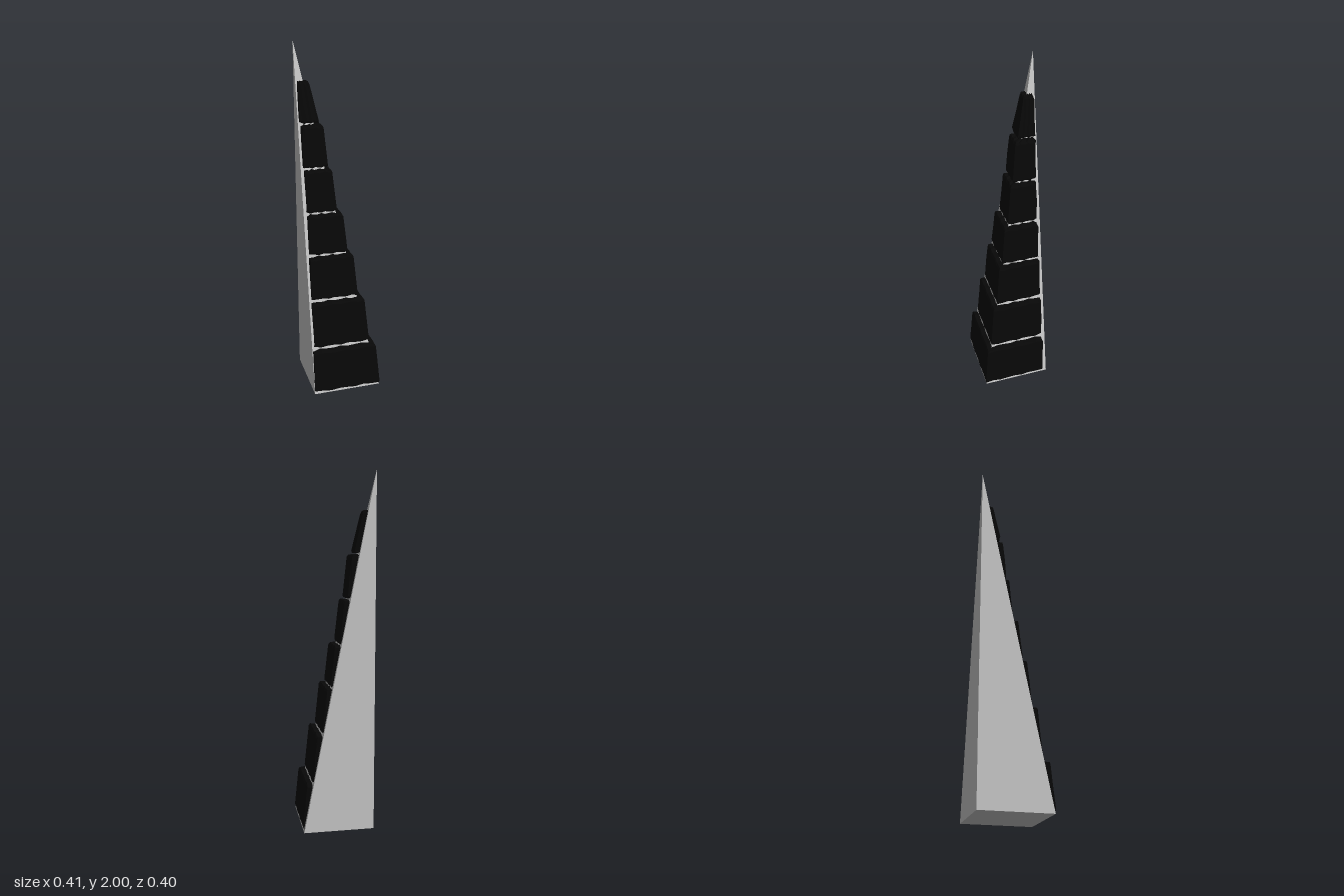
import * as THREE from 'three';

const MIN = -0.204, BASE = 0.4, HEIGHT = 2;
// Distance (same in x and z) of the sloped core faces at height y
const face = (y) => MIN + BASE * (1 - y / HEIGHT);

// bottom y, top y, outer edge at bottom, outer edge at top, left end x, back end z
const ROWS = [
  [0.012, 0.267, 0.199, 0.178, -0.202, -0.181],
  [0.28, 0.549, 0.144, 0.121, -0.192, -0.181],
  [0.563, 0.813, 0.089, 0.068, -0.188, -0.182],
  [0.825, 1.053, 0.040, 0.020, -0.187, -0.182],
  [1.063, 1.303, -0.010, -0.031, -0.187, -0.183],
  [1.316, 1.549, -0.050, -0.069, -0.189, -0.185],
  [1.562, 1.782, -0.090, -0.130, -0.197, -0.190],
];

// Leaning pyramid whose tip stands above the back corner
function makeCore() {
  const g = new THREE.ConeGeometry(BASE / Math.SQRT2, HEIGHT, 4, 1).toNonIndexed();
  g.rotateY(Math.PI / 4);
  g.translate(0, HEIGHT / 2, 0);
  const p = g.attributes.position;
  for (let i = 0; i < p.count; i++) {
    const shift = MIN + BASE / 2 - (BASE / 2) * (p.getY(i) / HEIGHT);
    p.setX(i, p.getX(i) + shift);
    p.setZ(i, p.getZ(i) + shift);
  }
  g.computeVertexNormals();
  return g;
}

// Corner slab: a section swept along the front face, round the corner, along the side
function makeSlab([y0, y1, o0, o1, xEnd, zEnd], row) {
  const N = 8, stations = 2 * N + 1, pos = [], index = [];
  const wave = (a, b) => Math.sin(a * 2.3 + b * 1.7 + row * 2.1);
  for (let s = 0; s < stations; s++) {
    const atEnd = s === 0 || s === stations - 1;
    const cut = atEnd ? 0.005 : 0;
    const yb = y0 + cut + 0.004 * wave(s, 0), yt = y1 - cut + 0.004 * wave(s, 3);
    const rough = s === N ? 0 : 0.0015 * wave(s, 5);
    const mid = (yb + yt) / 2;
    const section = [
      [face(yb) - 0.004, yb],
      [Math.max(o0 - 0.004, face(yb)), yb],
      [o0 + rough - cut * 0.5, yb + 0.01],
      [(o0 + o1) / 2 + rough - cut * 0.5, mid],
      [o1 + rough - cut * 0.5, yt - 0.012],
      [o1 - 0.007, yt],
      [face(yt) - 0.004, yt],
    ];
    section.forEach(([o, y], k) => {
      // ends are slightly ragged
      const rag = atEnd ? 0.003 * wave(k, s) : 0;
      if (s <= N) pos.push(THREE.MathUtils.lerp(xEnd + rag, o, s / N), y, o);
      else pos.push(o, y, THREE.MathUtils.lerp(o, zEnd + rag, (s - N) / N));
    });
  }
  const K = 7;
  for (let s = 0; s < stations - 1; s++) {
    for (let k = 0; k < K; k++) {
      const a = s * K + k, b = s * K + (k + 1) % K;
      index.push(a, a + K, b, b, a + K, b + K);
    }
  }
  // end caps
  const last = (stations - 1) * K;
  for (let k = 1; k < K - 1; k++) {
    index.push(0, k, k + 1, last, last + k + 1, last + k);
  }
  const g = new THREE.BufferGeometry();
  g.setAttribute('position', new THREE.Float32BufferAttribute(pos, 3));
  g.setIndex(index);
  const flat = g.toNonIndexed();
  flat.computeVertexNormals();
  return flat;
}

export function createModel() {
  const model = new THREE.Group();
  const core = new THREE.Mesh(makeCore(), new THREE.MeshStandardMaterial({ color: 0xcccccc, flatShading: true }));
  core.name = 'core';
  model.add(core);

  const black = new THREE.MeshStandardMaterial({ color: 0x080808, flatShading: true, side: THREE.DoubleSide });
  const cladding = new THREE.Group();
  cladding.name = 'cladding';
  ROWS.forEach((row, i) => {
    const slab = new THREE.Mesh(makeSlab(row, i), black);
    slab.name = `cornerSlab${i + 1}`;
    cladding.add(slab);
  });
  model.add(cladding);
  return model;
}
